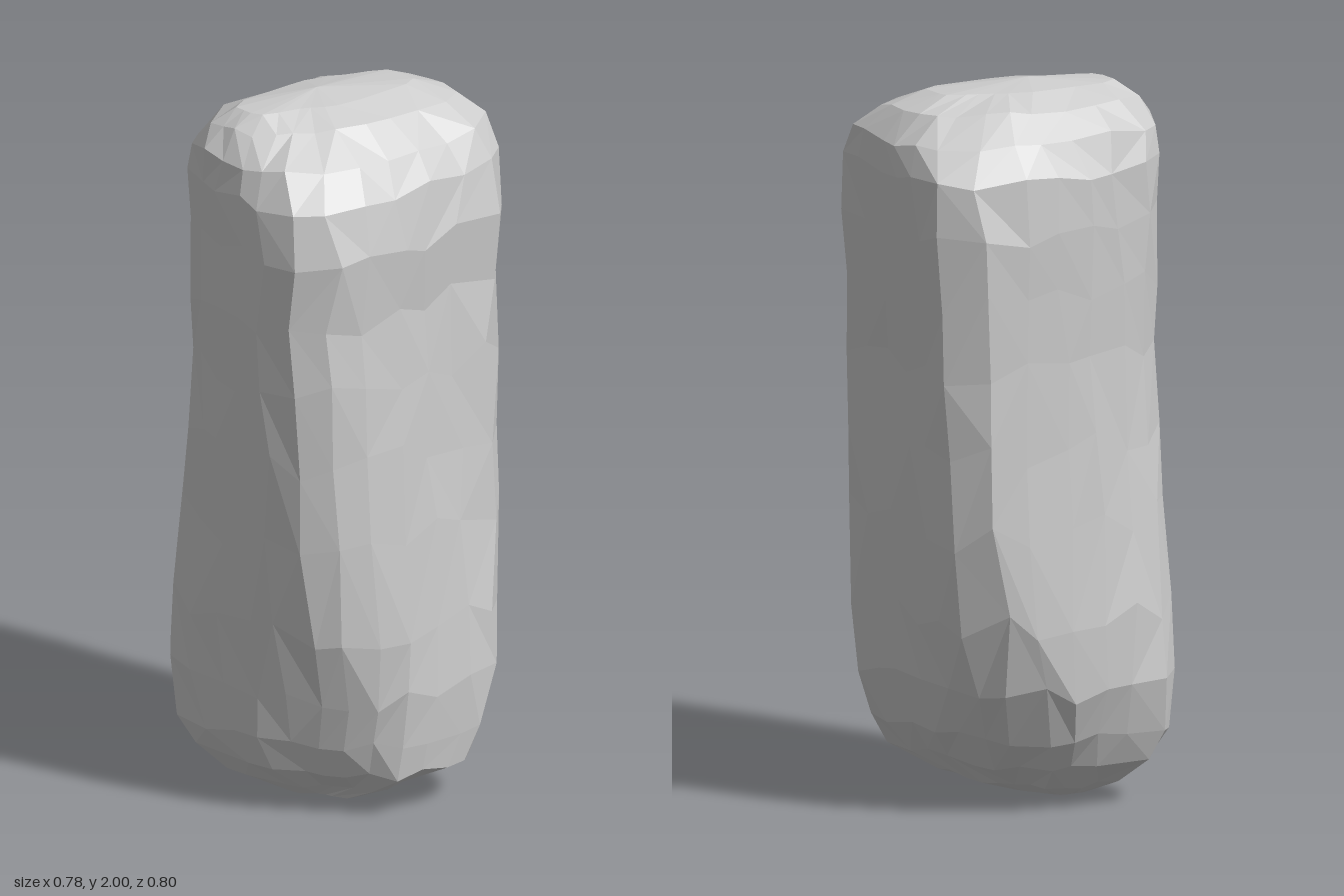
import * as THREE from 'three';

const SEGMENTS = 24;

// Cross-sections: y, xMin, xMax, zMin, zMax, squareness,
// then how far each corner bulges: left front, right front, right back, left back
const SECTIONS = [
  [0.008, -0.12, 0.16, 0.03, 0.19, 2.2, -0.42, 0.30, -0.25, 0.30],
  [0.05, -0.21, 0.25, -0.09, 0.26, 2.4, -0.36, 0.24, -0.22, 0.24],
  [0.12, -0.30, 0.37, -0.19, 0.33, 2.7, -0.30, 0.17, -0.18, 0.17],
  [0.21, -0.345, 0.38, -0.26, 0.37, 3.0, -0.25, 0.12, -0.14, 0.12],
  [0.35, -0.39, 0.39, -0.31, 0.38, 3.3, -0.18, 0.06, -0.09, 0.08],
  [0.55, -0.39, 0.375, -0.325, 0.39, 3.6, -0.08, 0.00, 0.00, 0.08],
  [0.80, -0.37, 0.35, -0.34, 0.395, 3.7, -0.03, -0.05, 0.05, 0.08],
  [1.03, -0.355, 0.33, -0.35, 0.40, 3.7, -0.01, -0.08, 0.06, 0.09],
  [1.25, -0.345, 0.315, -0.355, 0.40, 3.8, 0.02, -0.11, 0.07, 0.10],
  [1.45, -0.345, 0.30, -0.37, 0.40, 3.8, 0.02, -0.09, 0.06, 0.10],
  [1.63, -0.35, 0.315, -0.38, 0.395, 3.7, 0.02, -0.07, 0.04, 0.09],
  [1.78, -0.34, 0.285, -0.395, 0.39, 3.5, 0.01, -0.04, 0.00, 0.08],
  [1.87, -0.295, 0.235, -0.39, 0.375, 3.2, -0.08, 0.03, -0.08, 0.10],
  [1.94, -0.225, 0.15, -0.33, 0.325, 2.8, -0.24, 0.12, -0.18, 0.18],
  [1.98, -0.15, 0.06, -0.23, 0.27, 2.4, -0.36, 0.22, -0.26, 0.28],
];

// Repeatable noise from -0.5 to 0.5
function noise(i, j) {
  const s = Math.sin(i * 127.1 + j * 311.7) * 43758.5453;
  return s - Math.floor(s) - 0.5;
}

// One point on the irregular rounded-square outline of a section
function outlinePoint(row, j) {
  const [y, x0, x1, z0, z1, n, ...corners] = SECTIONS[row];
  const a = ((j + 0.5 + 0.4 * noise(row, j)) / SEGMENTS) * Math.PI * 2;
  const c = Math.cos(a), s = Math.sin(a);
  const bulge = corners[Math.floor(a / (Math.PI / 2)) % 4];
  const r = Math.pow(Math.abs(c) ** n + Math.abs(s) ** n, -1 / n)
    * (1 + bulge * Math.abs(Math.sin(2 * a)) ** 1.4)
    * (1 + 0.018 * noise(row + 40, j));
  // Bulging corners stay inside the section's limits
  const u = THREE.MathUtils.clamp(c * r, -1, 1);
  const v = THREE.MathUtils.clamp(s * r, -1, 1);
  const inner = row > 0 && row < SECTIONS.length - 1;
  const lift = inner ? 0.4 * noise(row + 80, j)
    * Math.min(SECTIONS[row + 1][0] - y, y - SECTIONS[row - 1][0]) : 0;
  return [
    (x0 + x1) / 2 + u * (x1 - x0) / 2,
    y + lift,
    (z0 + z1) / 2 + v * (z1 - z0) / 2,
  ];
}

function stoneGeometry() {
  const positions = [], index = [];
  const rows = SECTIONS.length;
  for (let i = 0; i < rows; i++) {
    for (let j = 0; j < SEGMENTS; j++) positions.push(...outlinePoint(i, j));
  }
  // Centres of the underside and the crown
  const bottom = positions.length / 3;
  positions.push(0.02, 0, 0.11);
  positions.push(-0.05, 2, 0.04);

  const at = (i, j) => i * SEGMENTS + (j % SEGMENTS);
  for (let j = 0; j < SEGMENTS; j++) {
    for (let i = 0; i < rows - 1; i++) {
      const a = at(i, j), b = at(i + 1, j), c = at(i + 1, j + 1), d = at(i, j + 1);
      // Mixed diagonals break up the facets
      if (noise(i + 7, j + 3) > 0) index.push(a, b, c, a, c, d);
      else index.push(a, b, d, b, c, d);
    }
    index.push(bottom, at(0, j), at(0, j + 1));
    index.push(bottom + 1, at(rows - 1, j + 1), at(rows - 1, j));
  }

  const geometry = new THREE.BufferGeometry();
  geometry.setAttribute('position', new THREE.Float32BufferAttribute(positions, 3));
  geometry.setIndex(index);
  const flat = geometry.toNonIndexed();
  flat.computeVertexNormals();
  return flat;
}

export function createModel() {
  const group = new THREE.Group();
  group.name = 'standingStone';
  const stone = new THREE.Mesh(
    stoneGeometry(),
    new THREE.MeshStandardMaterial({ color: 0xcccccc, flatShading: true }),
  );
  stone.name = 'stone';
  group.add(stone);
  return group;
}
